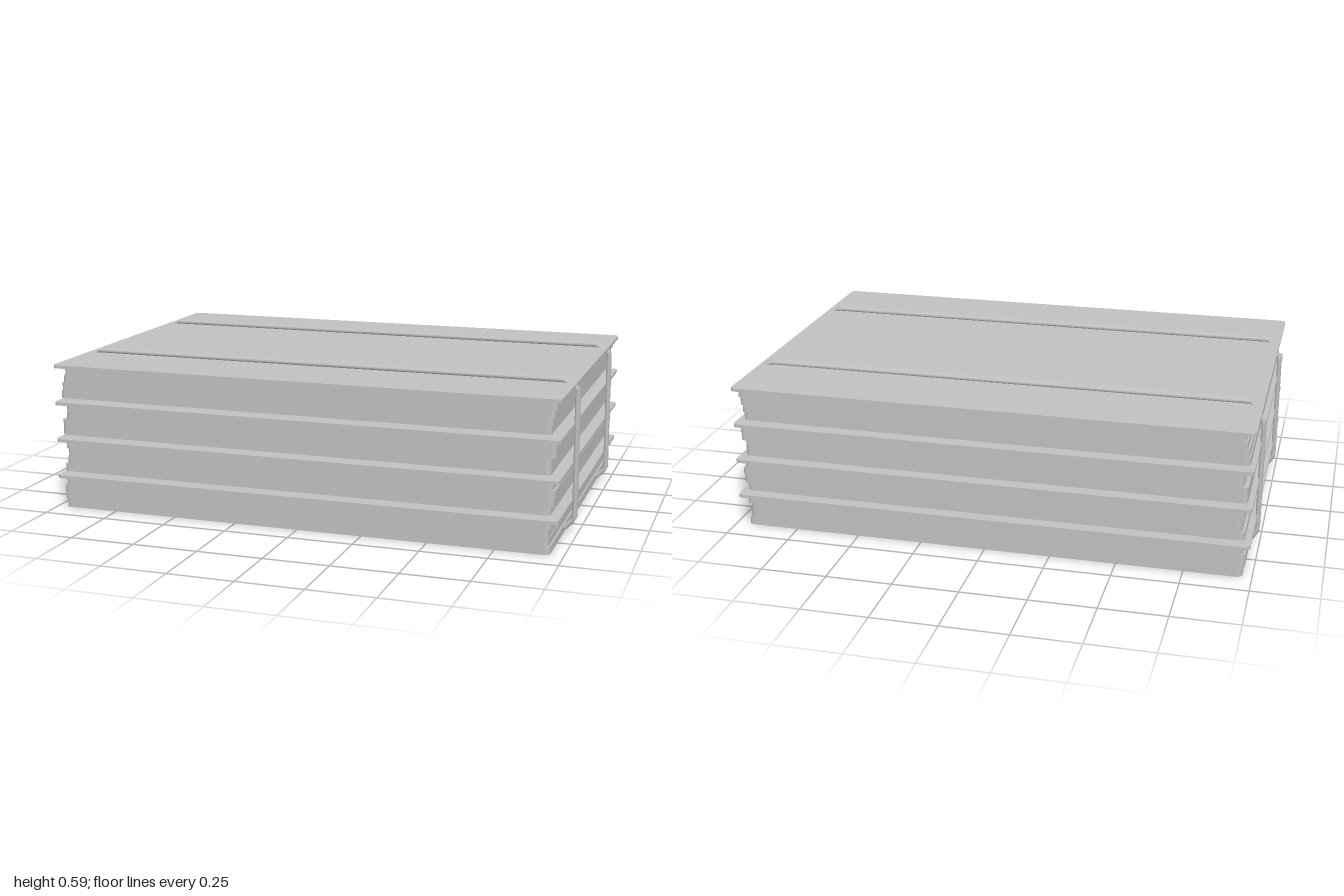
import * as THREE from 'three';

// Flat horizontal sheet with rounded corners, from y upward
function sheet(halfX, halfZ, radius, height) {
  const s = new THREE.Shape();
  const x = halfX - radius, z = halfZ - radius;
  s.absarc(x, z, radius, 0, Math.PI / 2);
  s.absarc(-x, z, radius, Math.PI / 2, Math.PI);
  s.absarc(-x, -z, radius, Math.PI, Math.PI * 1.5);
  s.absarc(x, -z, radius, Math.PI * 1.5, Math.PI * 2);
  const g = new THREE.ExtrudeGeometry(s, { depth: height, bevelEnabled: false, curveSegments: 5 });
  return g.rotateX(-Math.PI / 2);
}

export function createModel() {
  const model = new THREE.Group();
  model.name = 'strappedStack';
  const grey = new THREE.MeshStandardMaterial({ color: 0xc0c0c0 });
  grey.name = 'grey';

  const add = (name, geometry, parent, x = 0, y = 0, z = 0) => {
    const mesh = new THREE.Mesh(geometry, grey);
    mesh.name = name;
    mesh.position.set(x, y, z);
    parent.add(mesh);
  };

  // Four bundles, each of four slightly shifted layers under a wider board
  const layerHeight = 0.03;
  const layer = sheet(0.957, 0.652, 0.02, layerHeight);
  const board = sheet(0.984, 0.674, 0.02, 0.012);
  const shifts = [
    [-0.007, -0.013, -0.016, -0.006],
    [-0.009, 0.002, 0.006, -0.003],
    [-0.012, -0.012, 0.004, 0.006],
    [-0.014, -0.009, -0.002, 0.005],
  ];
  shifts.forEach((row, i) => {
    const bundle = new THREE.Group();
    bundle.name = 'bundle';
    bundle.position.y = i * 0.1455;
    row.forEach((dx, j) => add('layer', layer, bundle, dx, j * layerHeight));
    add('board', board, bundle, -0.004, 0.12);
    model.add(bundle);
  });

  // Two straps, each a pair of cords looped round the stack
  const loop = [
    [-0.94, 0.578], [0.93, 0.578], [0.985, 0.55], [0.989, 0.06],
    [0.955, 0.024], [-0.965, 0.024], [-0.991, 0.065], [-0.991, 0.5],
  ].map(([x, y]) => new THREE.Vector3(x, y, 0));
  const path = new THREE.CatmullRomCurve3(loop, true, 'catmullrom', 0);
  path.arcLengthDivisions = 800;
  const cord = new THREE.TubeGeometry(path, 300, 0.009, 8, true);
  for (const side of [-1, 1]) {
    const strap = new THREE.Group();
    strap.name = 'strap';
    strap.position.z = side * 0.372;
    for (const dz of [-0.008, 0.008]) add('cord', cord, strap, 0, 0, dz);
    model.add(strap);
  }
  return model;
}
